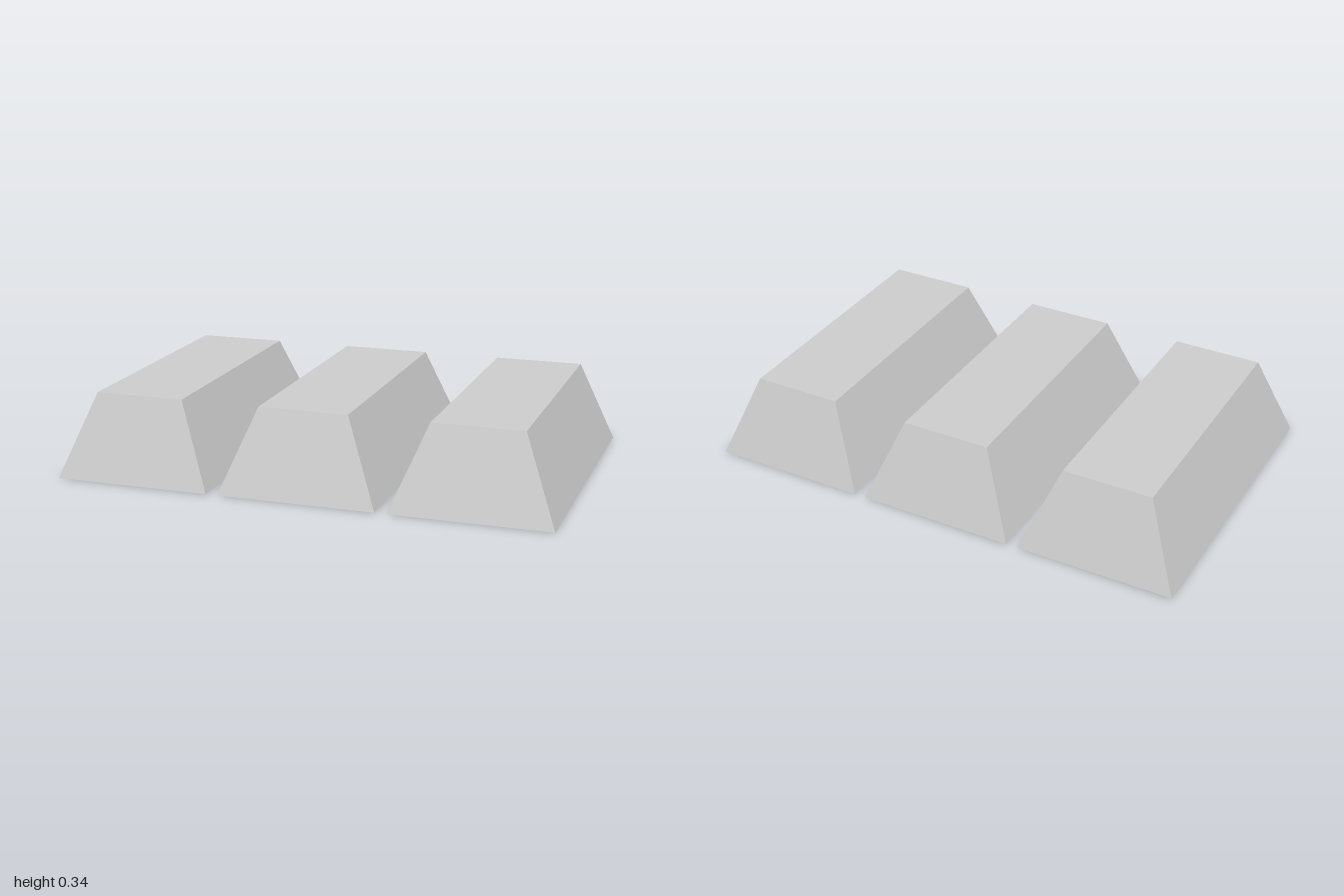
import * as THREE from 'three';

const HEIGHT = 0.34;
const BASE = { w: 0.635, d: 1.27 };
const TOP = { w: 0.362, d: 1.068 };
const SPACING = 0.6825;

// Box whose upper face is shrunk to give sloping sides
function ingotGeometry() {
  const geo = new THREE.BoxGeometry(BASE.w, HEIGHT, BASE.d);
  geo.translate(0, HEIGHT / 2, 0);
  const pos = geo.attributes.position;
  for (let i = 0; i < pos.count; i++) {
    if (pos.getY(i) > HEIGHT / 2) {
      pos.setX(i, Math.sign(pos.getX(i)) * TOP.w / 2);
      pos.setZ(i, Math.sign(pos.getZ(i)) * TOP.d / 2);
    }
  }
  geo.computeVertexNormals();
  return geo;
}

export function createModel() {
  const group = new THREE.Group();
  group.name = 'ingots';
  const material = new THREE.MeshStandardMaterial({ color: 0xcccccc, flatShading: true });
  const geometry = ingotGeometry();

  // Three identical bars side by side
  ['rightIngot', 'middleIngot', 'leftIngot'].forEach((name, i) => {
    const bar = new THREE.Mesh(geometry, material);
    bar.name = name;
    bar.position.x = (i - 1) * SPACING;
    group.add(bar);
  });
  return group;
}
